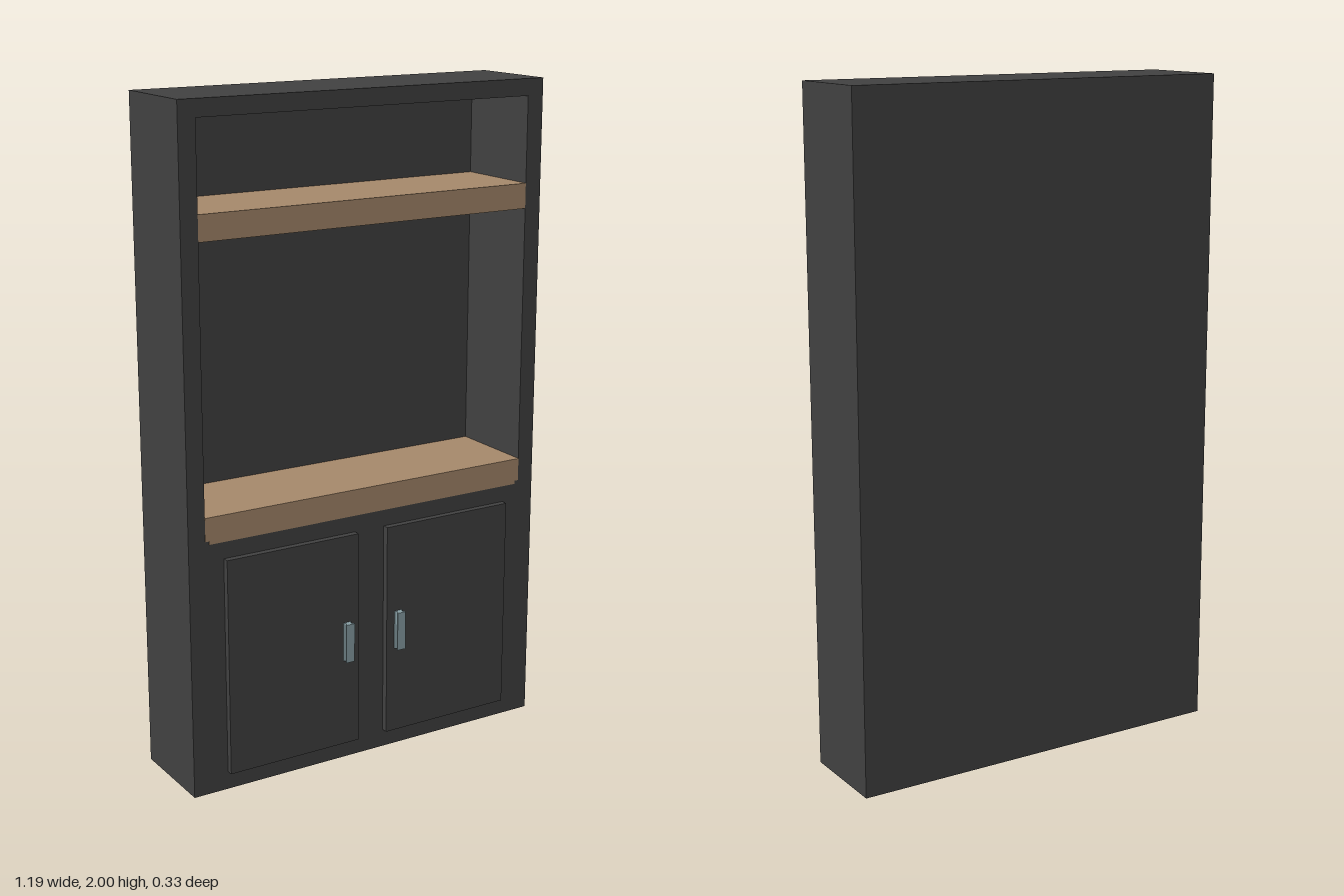
import * as THREE from 'three';

const charcoal = new THREE.MeshStandardMaterial({ name: 'charcoal', color: 0x424242 });
const wood = new THREE.MeshStandardMaterial({ name: 'wood', color: 0xa88a6c });
const steel = new THREE.MeshStandardMaterial({ name: 'steel', color: 0x8ba2a8 });

// Box given by its minimum and maximum corners
function box(name, material, [x0, y0, z0], [x1, y1, z1]) {
  const mesh = new THREE.Mesh(new THREE.BoxGeometry(x1 - x0, y1 - y0, z1 - z0), material);
  mesh.position.set((x0 + x1) / 2, (y0 + y1) / 2, (z0 + z1) / 2);
  mesh.name = name;
  return mesh;
}

function polygon(points) {
  return new THREE.Shape(points.map(([x, y]) => new THREE.Vector2(x, y)));
}

function extrude(name, material, shape, depth) {
  const mesh = new THREE.Mesh(new THREE.ExtrudeGeometry(shape, { depth, bevelEnabled: false }), material);
  mesh.name = name;
  return mesh;
}

export function createModel() {
  const group = new THREE.Group();
  group.name = 'cabinet';
  const W = 0.595, back = -0.167, front = 0.125, panel = -0.157;

  // Carcass: solid base with an open niche above, closed by a thin back panel
  const outline = polygon([[-W, 0], [W, 0], [W, 2], [-W, 2]]);
  outline.holes.push(polygon([[-0.542, 0.775], [-0.542, 1.95], [0.542, 1.95], [0.542, 0.775]]));
  const carcass = extrude('carcass', charcoal, outline, front - panel);
  carcass.position.z = panel;
  group.add(carcass, box('backPanel', charcoal, [-W, 0, back], [W, 2, panel]));

  // Upper shelf, and lower shelf with a stepped lower edge
  group.add(box('upperShelf', wood, [-0.542, 1.62, panel], [0.542, 1.695, front]));
  const lowerShelf = extrude('lowerShelf', wood, polygon([
    [-0.53, 0.765], [0.53, 0.765], [0.53, 0.775], [0.542, 0.775],
    [0.542, 0.845], [-0.542, 0.845], [-0.542, 0.775], [-0.53, 0.775],
  ]), front + 0.001 - panel);
  lowerShelf.position.z = panel;
  group.add(lowerShelf);

  // Doors with waisted pull handles
  const profile = polygon([
    [-0.013, 0], [0.013, 0], [0.013, -0.004], [0.006, -0.011], [0.014, -0.018], [0.014, -0.021],
    [-0.014, -0.021], [-0.014, -0.018], [-0.006, -0.011], [-0.013, -0.004],
  ]);
  for (const [side, s] of [['left', 1], ['right', -1]]) {
    const [a, b] = s > 0 ? [0.05, 0.485] : [-0.485, -0.05];
    group.add(box(side + 'Door', charcoal, [a, 0.055, front], [b, 0.715, 0.145]));
    const handle = extrude(side + 'Handle', steel, profile, 0.12);
    handle.rotation.x = -Math.PI / 2;
    handle.position.set(s * 0.09, 0.325, 0.145);
    group.add(handle);
  }
  return group;
}
